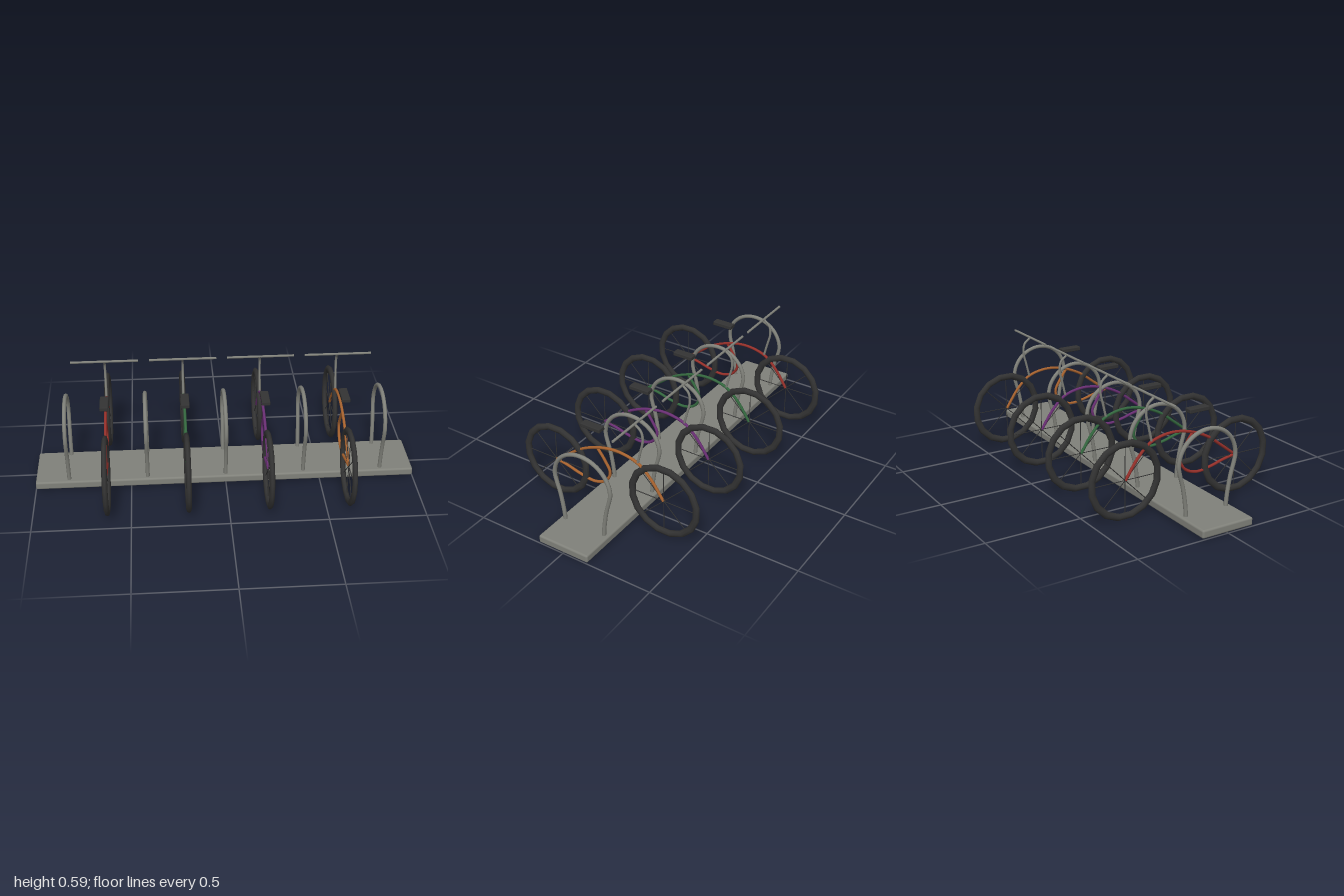
import * as THREE from 'three';
import { RoundedBoxGeometry } from 'three/addons/geometries/RoundedBoxGeometry.js';

const mat = (name, color) => {
  const m = new THREE.MeshStandardMaterial({ color });
  m.name = name;
  return m;
};

export function createModel() {
  const steel = mat('grey steel', 0x80817a);
  const rubber = mat('black rubber', 0x333333);
  const paints = [
    mat('red paint', 0x96302a), mat('green paint', 0x34683f),
    mat('purple paint', 0x6a2f74), mat('orange paint', 0xa8632f),
  ];

  const add = (parent, name, geometry, material, x = 0, y = 0, z = 0) => {
    const mesh = new THREE.Mesh(geometry, material);
    mesh.name = name;
    mesh.position.set(x, y, z);
    parent.add(mesh);
    return mesh;
  };

  // Round tube in the side plane, through [z, y] points
  const tube = (points, radius, segments) => new THREE.TubeGeometry(
    new THREE.CatmullRomCurve3(points.map(([z, y]) => new THREE.Vector3(0, y, z))),
    segments, radius, 8);

  const model = new THREE.Group();
  model.name = 'bicycleRack';

  // Base slab
  add(model, 'base', new RoundedBoxGeometry(2, 0.043, 0.29, 3, 0.01), steel, 0, 0.0255, 0);

  // Hoops: splayed legs joined by a half-round arch
  const side = [[0.116, 0.03], [0.122, 0.1], [0.139, 0.2], [0.157, 0.265]];
  const arch = [];
  for (let i = 0; i <= 10; i++) {
    const a = (i / 10) * Math.PI;
    arch.push([0.164 * Math.cos(a), 0.305 + 0.156 * Math.sin(a)]);
  }
  const mirrored = side.map(([z, y]) => [-z, y]).reverse();
  const hoopGeo = tube([...side, ...arch, ...mirrored], 0.0105, 56);
  for (let i = -2; i <= 2; i++) add(model, 'hoop', hoopGeo, steel, i * 0.4125);

  // Shared bicycle geometry
  const tyreGeo = new THREE.TorusGeometry(0.1855, 0.0185, 8, 16);
  tyreGeo.rotateZ(Math.PI / 16).scale(1, 1, 0.75).rotateY(Math.PI / 2);
  const spokeGeo = new THREE.CylinderGeometry(0.0022, 0.0022, 0.365, 6);
  const topTubeGeo = tube([[0.324, 0.2], [0.235, 0.268], [0.152, 0.328], [0.04, 0.375],
    [-0.07, 0.39], [-0.18, 0.364], [-0.25, 0.302], [-0.322, 0.2]], 0.0075, 40);
  const loopTubeGeo = tube([[0.324, 0.2], [0.25, 0.186], [0.18, 0.167], [0.087, 0.156],
    [0.02, 0.185], [-0.01, 0.245], [0.02, 0.308], [0.06, 0.364]], 0.0075, 40);
  const stemGeo = tube([[-0.175, 0.362], [-0.192, 0.434], [-0.208, 0.505],
    [-0.2, 0.555], [-0.164, 0.587]], 0.0065, 24);
  const barGeo = new THREE.CylinderGeometry(0.0065, 0.0065, 0.354, 8).rotateZ(Math.PI / 2);
  const seatGeo = new RoundedBoxGeometry(0.044, 0.022, 0.116, 2, 0.004);

  const makeWheel = () => {
    const wheel = new THREE.Group();
    wheel.name = 'wheel';
    add(wheel, 'tyre', tyreGeo, rubber);
    for (let i = 0; i < 4; i++) {
      add(wheel, 'spoke', spokeGeo, rubber).rotation.x = (i * Math.PI) / 4;
    }
    return wheel;
  };

  // Four bicycles, one paint colour each
  paints.forEach((paint, i) => {
    const bike = new THREE.Group();
    bike.name = 'bicycle';
    bike.position.x = -0.619 + i * 0.4115;
    for (const z of [0.324, -0.324]) {
      const wheel = makeWheel();
      wheel.position.set(0, 0.201, z);
      bike.add(wheel);
    }
    add(bike, 'frameArch', topTubeGeo, paint);
    add(bike, 'frameLoop', loopTubeGeo, paint);
    add(bike, 'handlebarStem', stemGeo, steel);
    add(bike, 'handlebar', barGeo, steel, 0, 0.588, -0.165);
    add(bike, 'seat', seatGeo, rubber, 0, 0.482, 0.088);
    model.add(bike);
  });

  return model;
}
